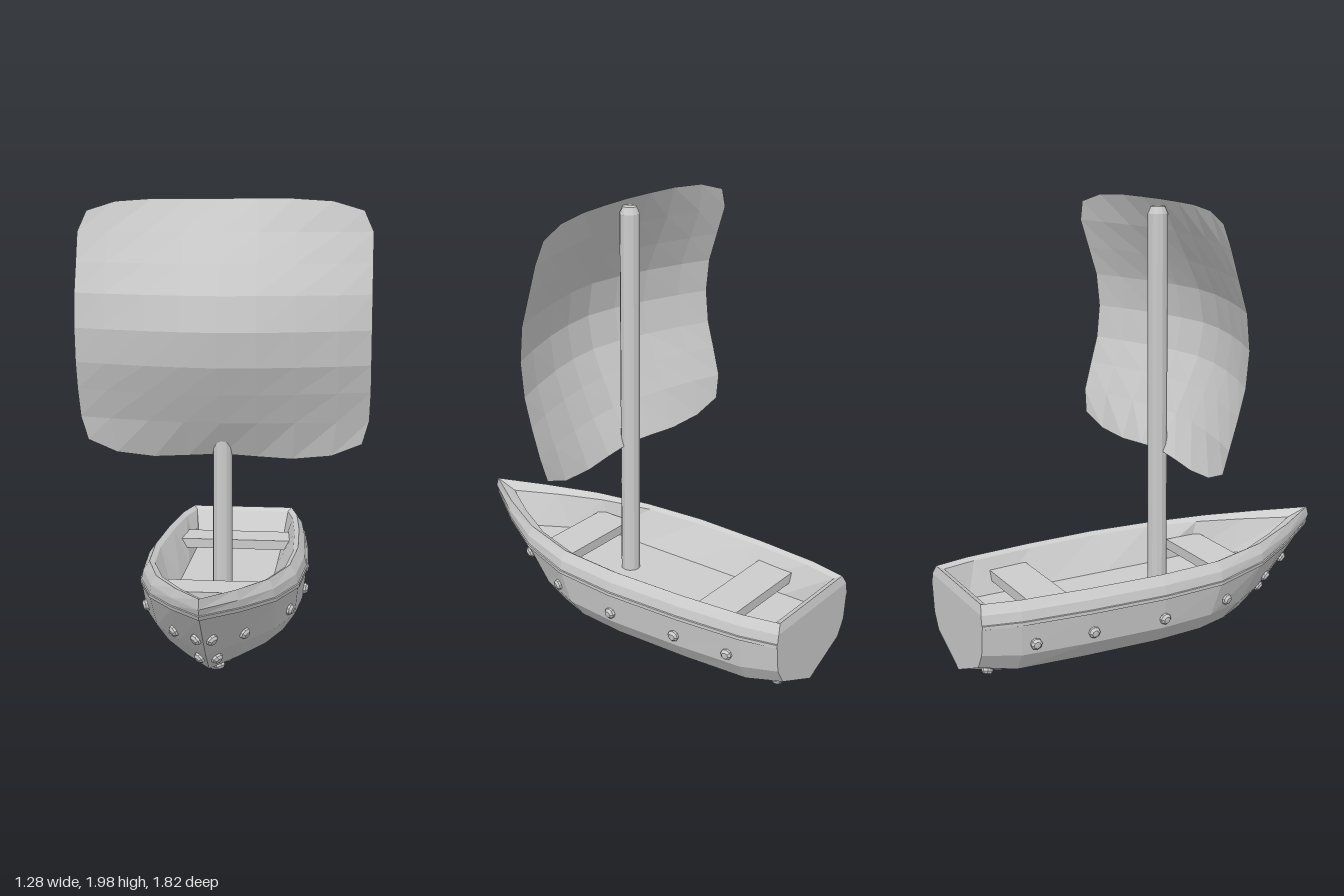
import * as THREE from 'three';

const grey = new THREE.MeshStandardMaterial({ color: 0xcccccc, flatShading: true });
grey.name = 'light grey';
const sailGrey = grey; // one colour throughout
grey.side = THREE.DoubleSide;

// Skin a grid of points (rows of equal length) with triangles
function skin(rows, closed) {
  const n = rows[0].length, index = [];
  for (let i = 0; i < rows.length - 1; i++) {
    for (let j = 0; j < (closed ? n : n - 1); j++) {
      const a = i * n + j, b = i * n + (j + 1) % n, c = a + n, d = b + n;
      index.push(a, c, b, b, c, d);
    }
  }
  const geo = new THREE.BufferGeometry();
  geo.setAttribute('position', new THREE.Float32BufferAttribute(rows.flat(2), 3));
  geo.setIndex(index);
  geo.computeVertexNormals();
  return geo;
}

// Stations from stern to bow, with the half width at each
const stationZ = [-0.91, -0.75, -0.45, -0.1, 0.2, 0.47, 0.7, 0.91];
const halfWidth = [0.285, 0.325, 0.355, 0.37, 0.347, 0.265, 0.14, 0];

// Loops from keel, up the outside, over the rail and down to the floor
const hullRows = [
  { f: 0, y: 0.02, sternY: 0.06, bow: [0.30, 0.02] },
  { f: 0.79, y: 0.13, sternY: 0.16, bow: [0.57, 0.10] },
  { f: 0.94, y: 0.21, sternY: 0.23, bow: [0.69, 0.20] },
  { f: 0.985, y: 0.345, bow: [0.885, 0.405] },
  { f: 1, y: 0.347, bow: [0.895, 0.407] },
  { f: 1, y: 0.362, bow: [0.905, 0.425] },
  { f: 0.985, y: 0.364, bow: [0.90, 0.428] },
  { f: 0.96, y: 0.405, bow: [0.912, 0.455] },
  { f: 0.88, y: 0.445, stern: 0.90, bow: [0.90, 0.495] },
  { f: 0.82, y: 0.43, stern: 0.87, bow: [0.79, 0.46] },
  { f: 0.8, max: 0.21, y: 0.28, stern: 0.77, bow: [0.69, 0.30] },
  { f: 0, y: 0.28, stern: 0.77, bow: [0.69, 0.30] },
];

function hullLoop({ f, y, sternY = y, stern = 0.91, max = 1, bow }) {
  const left = stationZ.map((z, j) => {
    const u = z / 0.91;
    const rise = Math.max(0, (z - 0.2) / 0.71) ** 1.5;
    const py = j === 0 ? sternY : y + (bow[1] - y) * rise;
    return [Math.min(max, halfWidth[j] * f), py, u < 0 ? u * stern : u * bow[0]];
  });
  const right = left.slice(0, -1).reverse().map(([x, py, z]) => [-x, py, z]);
  return [...left, ...right];
}

// Sail cross rows: height, belly depth at the middle, sweep back at the edges, width
const sailRows = [
  [0.88, 0.07, 0.05, 0.605], [1.05, 0.16, 0.13, 0.635], [1.18, 0.222, 0.155, 0.64],
  [1.30, 0.275, 0.175, 0.64], [1.45, 0.30, 0.185, 0.64], [1.60, 0.275, 0.175, 0.64],
  [1.73, 0.215, 0.155, 0.64], [1.86, 0.15, 0.13, 0.64], [2.0, 0.08, 0.07, 0.60],
];
const sailU = [-1, -0.78, -0.5, -0.25, 0, 0.25, 0.5, 0.78, 1];

function sailGeometry() {
  const rows = sailRows.map(([y, z, sweep, w], i) => sailU.map((u) => {
    const a = Math.abs(u), corner = Math.max(0, (a - 0.72) / 0.28);
    let py = y;
    if (i === 0) py += 0.065 * corner + 0.02 * Math.max(0, 1 - a * 2);
    if (i === sailRows.length - 1) py -= 0.05 * corner;
    return [u * w, py, z - sweep * a ** 1.6];
  }));
  // columns run right to left so that the faces point forward
  return skin(rows.map((r) => r.reverse()), false);
}

export function createModel() {
  const model = new THREE.Group();
  model.name = 'sailingBoat';
  const add = (name, geo, mat, x = 0, y = 0, z = 0) => {
    const mesh = new THREE.Mesh(geo, mat);
    mesh.name = name;
    mesh.position.set(x, y, z);
    model.add(mesh);
    return mesh;
  };

  const hull = add('hull', skin(hullRows.map(hullLoop), true), grey);

  // Benches
  add('sternBench', new THREE.BoxGeometry(0.53, 0.045, 0.18), grey, 0, 0.355, -0.56);
  add('bowBench', new THREE.BoxGeometry(0.43, 0.045, 0.18), grey, 0, 0.355, 0.33);

  // Mast with a bevelled top
  const mastProfile = [[0, 0.27], [0.043, 0.27], [0.043, 1.94], [0.03, 1.97], [0, 1.975]];
  add('mast', new THREE.LatheGeometry(mastProfile.map(([r, y]) => new THREE.Vector2(r, y)), 12),
    grey, 0, 0, 0.065);

  add('sail', sailGeometry(), sailGrey);

  // Studs set square to the hull planking, as [z, y], mirrored
  const studProfile = [[0.025, -0.015], [0.025, 0.01], [0.015, 0.02], [0, 0.021]];
  const studGeo = new THREE.LatheGeometry(studProfile.map(([r, y]) => new THREE.Vector2(r, y)), 8);
  const studs = [[0.73, 0.28], [0.56, 0.255], [0.24, 0.26], [-0.1, 0.255], [-0.435, 0.26],
    [-0.69, 0.255], [-0.845, 0.115], [0.6, 0.16], [0.4, 0.06], [0.24, 0.04]];
  const ray = new THREE.Raycaster();
  for (const [z, y] of studs) {
    for (const side of [1, -1]) {
      ray.set(new THREE.Vector3(side, y, z), new THREE.Vector3(-side, 0, 0));
      const hit = ray.intersectObject(hull)[0];
      if (!hit) continue;
      const stud = add('hullStud', studGeo, grey, hit.point.x, y, z);
      stud.quaternion.setFromUnitVectors(new THREE.Vector3(0, 1, 0), hit.face.normal);
    }
  }
  return model;
}
